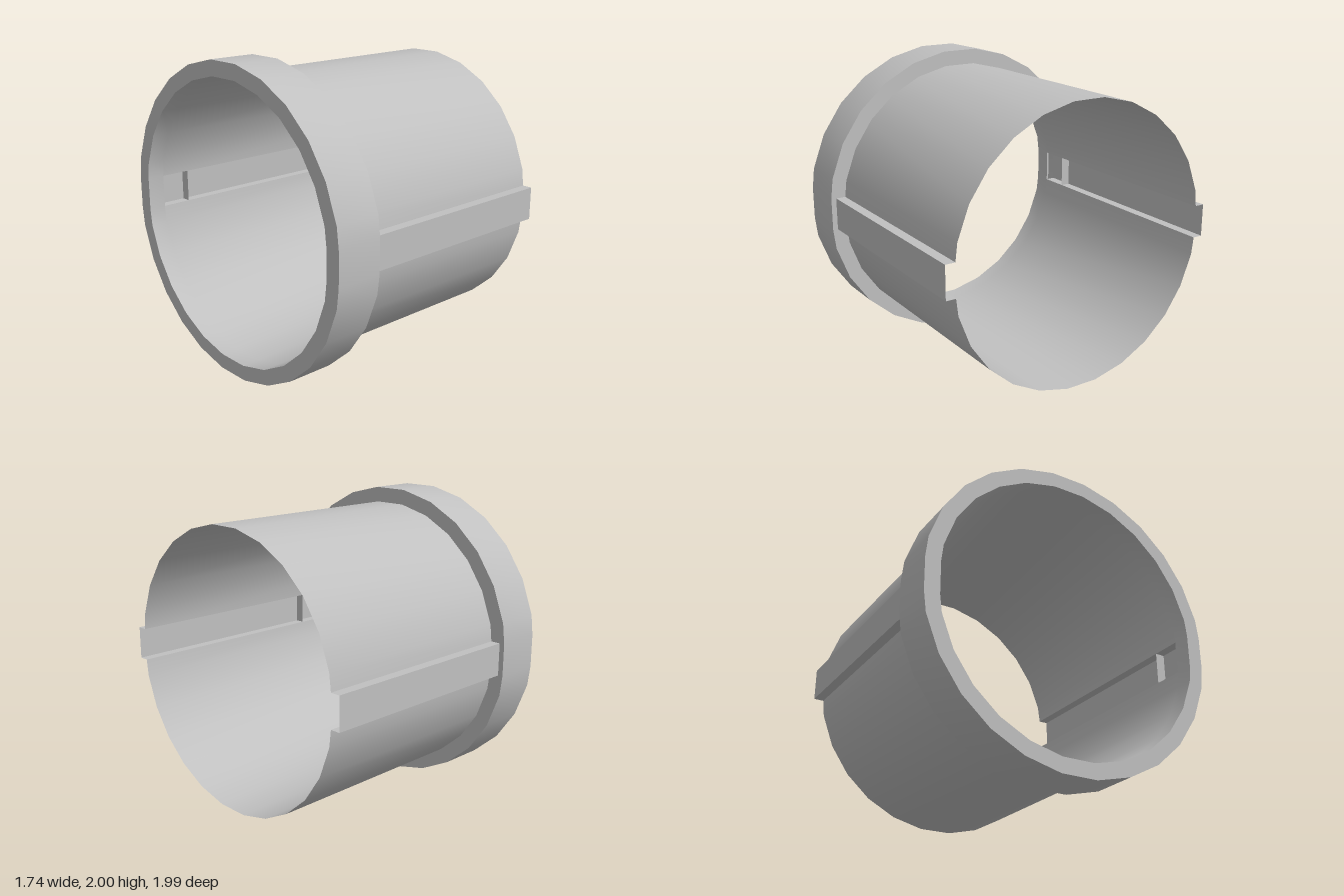
import * as THREE from 'three';
import { toCreasedNormals } from 'three/addons/utils/BufferGeometryUtils.js';

const SIDES = 26, SLOT = 0.107;
const FLANGE_R = 1.0073, TUBE_R = 0.908;
const X0 = -0.87, STEP = -0.755, X1 = -0.56, X2 = 0.865;

// Closed outline in (z, y), clockwise from the top, flattened at both sides.
// With slotZ it steps outward there to form two channels.
function outline(radius, slotZ) {
  const pts = [];
  const step = (Math.PI * 2) / SIDES;
  const zNext = radius * Math.cos(step), yNext = radius * Math.sin(step);
  const flatZ = radius + (zNext - radius) * (SLOT / yNext);
  for (let i = 0; i < SIDES; i++) {
    const t = (i + 0.5) * step;
    const z = radius * Math.sin(t), y = radius * Math.cos(t);
    if (Math.abs(y) > 0.01) { pts.push(new THREE.Vector2(z, y + 1)); continue; }
    const s = Math.sign(z);
    pts.push(new THREE.Vector2(s * flatZ, 1 + s * SLOT));
    if (slotZ) {
      pts.push(new THREE.Vector2(s * slotZ, 1 + s * SLOT));
      pts.push(new THREE.Vector2(s * slotZ, 1 - s * SLOT));
    }
    pts.push(new THREE.Vector2(s * flatZ, 1 - s * SLOT));
  }
  return pts;
}

// Open wall swept along x from an outline
function sweep(pts, xa, xb, inward = false) {
  const pos = [];
  pts.forEach((a, i) => {
    const b = pts[(i + 1) % pts.length];
    const [p, q] = inward ? [b, a] : [a, b];
    pos.push(xa, p.y, p.x, xa, q.y, q.x, xb, q.y, q.x);
    pos.push(xa, p.y, p.x, xb, q.y, q.x, xb, p.y, p.x);
  });
  const g = new THREE.BufferGeometry();
  g.setAttribute('position', new THREE.Float32BufferAttribute(pos, 3));
  return toCreasedNormals(g, Math.PI / 6);
}

export function createModel() {
  const group = new THREE.Group();
  group.name = 'flangedSleeve';
  const grey = new THREE.MeshStandardMaterial({ color: 0xc0c0c0, side: THREE.DoubleSide });
  grey.name = 'light grey';
  const add = (name, geometry) => {
    const mesh = new THREE.Mesh(geometry, grey);
    mesh.name = name;
    group.add(mesh);
    return mesh;
  };

  // Thin sleeve with a channel along the front and the back
  add('sleeve', sweep(outline(TUBE_R, 0.96), STEP, X2));

  // Collar walls; the sleeve lines the rest of the bore
  add('collarOuterWall', sweep(outline(FLANGE_R), X0, X1));
  add('collarInnerWall', sweep(outline(TUBE_R), X0, STEP, true));

  // Flat ring faces at both ends of the collar
  const ring = new THREE.Shape(outline(FLANGE_R));
  ring.holes.push(new THREE.Path(outline(TUBE_R)));
  for (const [name, x, turn] of [['collarEndFace', X0, -1], ['collarShoulder', X1, 1]]) {
    const face = new THREE.ShapeGeometry(ring);
    face.rotateY((turn * Math.PI) / 2);
    face.translate(x, 0, 0);
    add(name, face);
  }
  return group;
}
